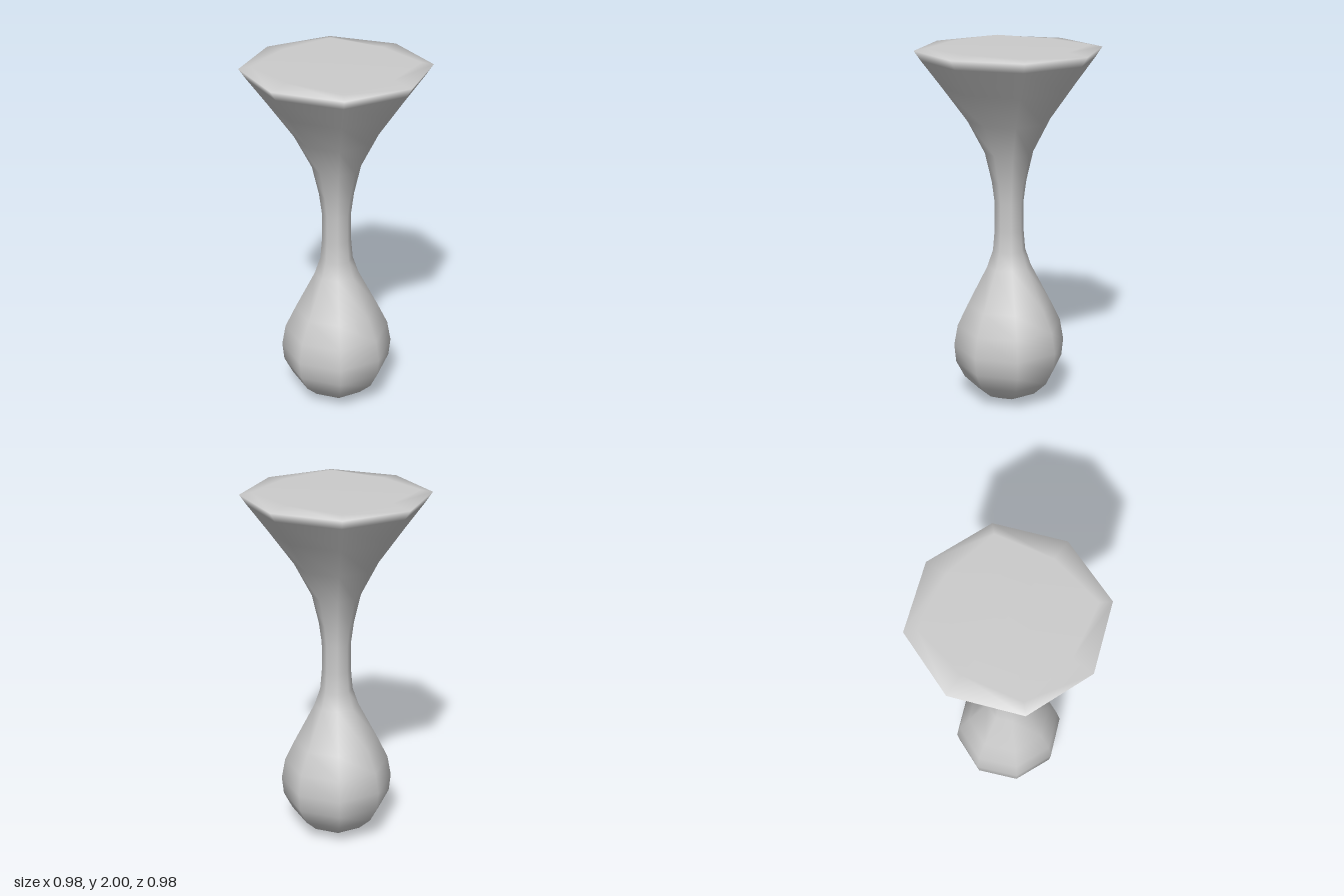
import * as THREE from 'three';

// [radius on the axes, height, radius factor on the diagonals], bottom to top
const PROFILE = [
  [0, 0, 1], [0.095, 0.015, 1], [0.175, 0.055, 1], [0.254, 0.133, 1], [0.302, 0.228, 1],
  [0.312, 0.329, 1], [0.291, 0.446, 1], [0.233, 0.568, 1], [0.122, 0.785, 1],
  [0.09, 0.88, 1], [0.08, 0.997, 1], [0.08, 1.155, 1], [0.095, 1.27, 1],
  [0.132, 1.43, 1], [0.222, 1.607, 1.01], [0.35, 1.79, 1.02], [0.455, 1.936, 1.025],
  [0.49, 1.988, 1.025], [0.37, 2, 1.18], [0, 2, 1],
];
const SIDES = 8;

export function createModel() {
  const group = new THREE.Group();
  group.name = 'flaredDrop';

  // Eight-sided smooth body: round bulb, thin neck, flared top
  const geometry = new THREE.LatheGeometry(
    PROFILE.map(([r, y]) => new THREE.Vector2(r, y)), SIDES);

  // Push the diagonal corners out to square off the flared top
  const pos = geometry.attributes.position;
  for (let side = 1; side < SIDES; side += 2) {
    PROFILE.forEach(([, , factor], j) => {
      const i = side * PROFILE.length + j;
      pos.setX(i, pos.getX(i) * factor);
      pos.setZ(i, pos.getZ(i) * factor);
    });
  }

  const body = new THREE.Mesh(geometry, new THREE.MeshStandardMaterial({ color: 0xcccccc }));
  body.name = 'body';
  group.add(body);
  return group;
}
